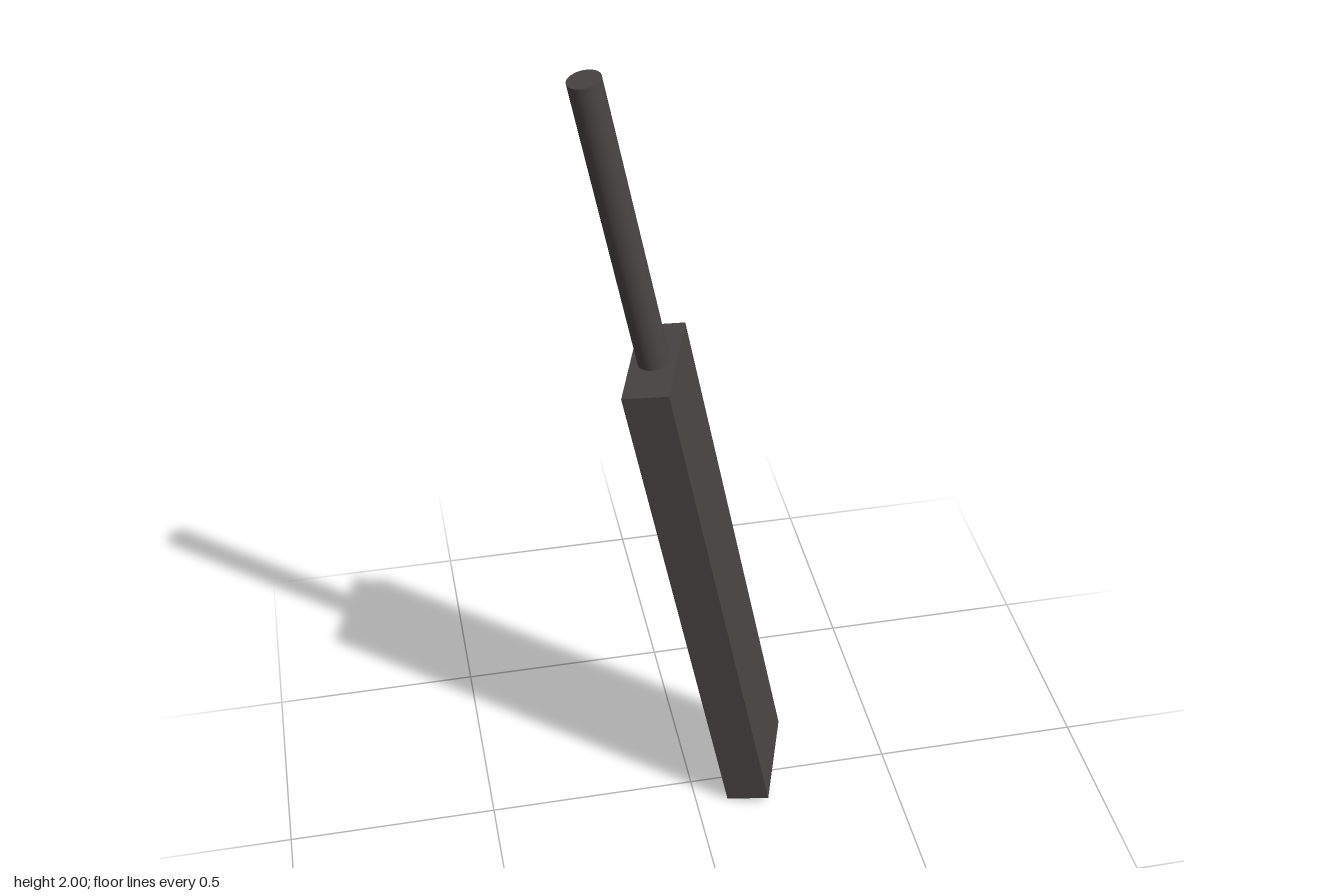
import * as THREE from 'three';

export function createModel() {
  const model = new THREE.Group();
  model.name = 'paddle';
  const darkGrey = new THREE.MeshStandardMaterial({ color: 0x484442 });
  darkGrey.name = 'darkGrey';

  const bladeLength = 1.311, handleLength = 0.7;

  // Tilted frame: y runs along the shaft, x is the blade thickness, z its width
  const tilted = new THREE.Group();
  tilted.name = 'tiltedBody';
  const along = new THREE.Vector3(-0.253, 1.286, 0.047).normalize();
  const across = new THREE.Vector3(0.096, 0.0176, 0.035);
  const wide = new THREE.Vector3().crossVectors(across, along).normalize();
  across.crossVectors(along, wide);
  tilted.quaternion.setFromRotationMatrix(new THREE.Matrix4().makeBasis(across, along, wide));
  tilted.position.set(0.1675, 0.0212, -0.025);
  model.add(tilted);

  // Rectangular blade
  const blade = new THREE.Mesh(new THREE.BoxGeometry(0.104, bladeLength, 0.252), darkGrey);
  blade.name = 'blade';
  blade.position.y = bladeLength / 2;
  tilted.add(blade);

  // Round handle standing on the blade's end
  const handle = new THREE.Mesh(new THREE.CylinderGeometry(0.036, 0.036, handleLength, 32), darkGrey);
  handle.name = 'handle';
  handle.position.y = bladeLength + handleLength / 2;
  tilted.add(handle);

  return model;
}
